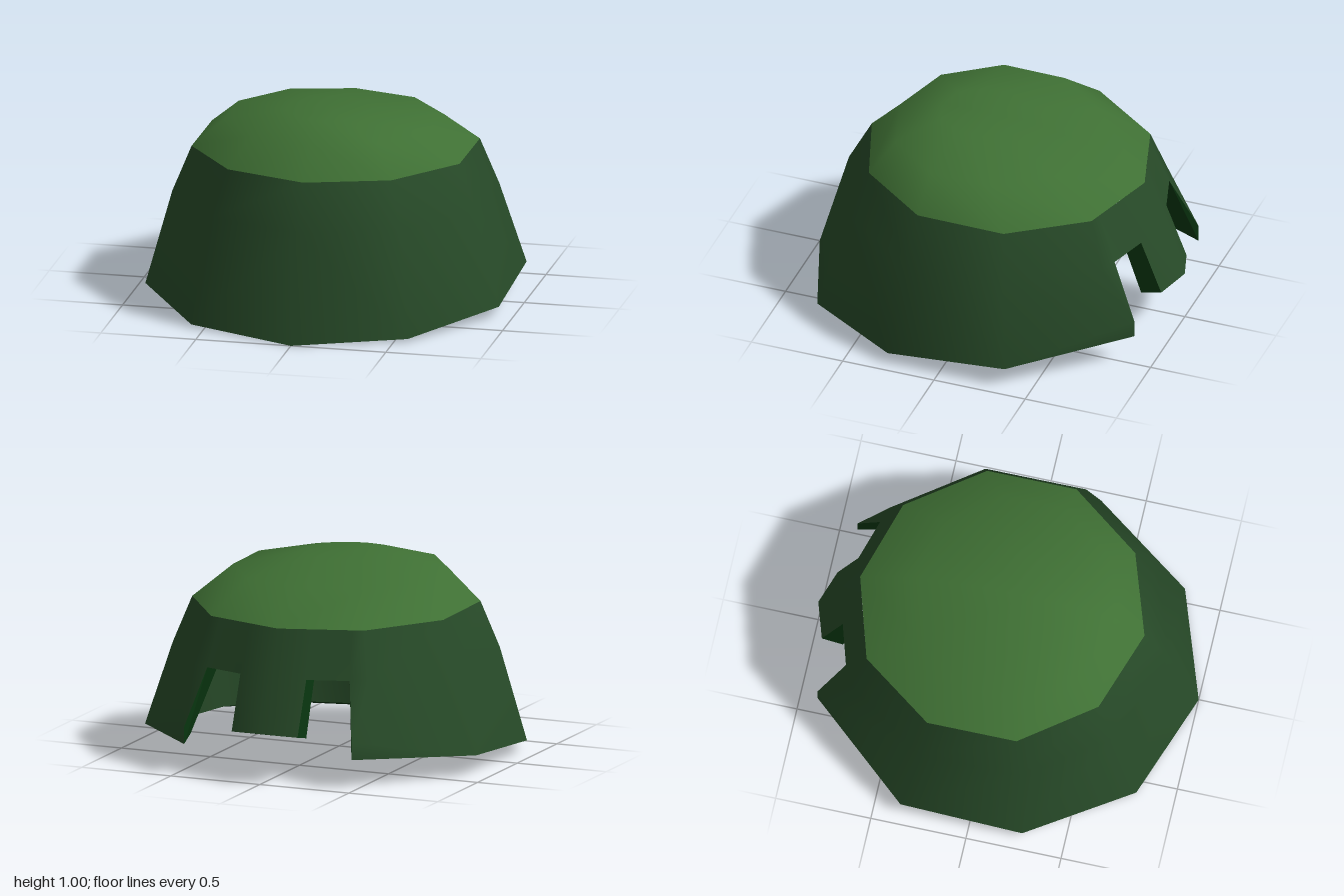
import * as THREE from 'three';
import { mergeVertices } from 'three/addons/utils/BufferGeometryUtils.js';

// Triangles between two rows of points, listed from the front round to the back
const band = (top, low) => {
  const tris = [];
  for (let i = 0; i < top.length - 1; i++) {
    tris.push([top[i], low[i], low[i + 1]], [top[i], low[i + 1], top[i + 1]]);
  }
  return tris;
};
const fan = (p) => p.slice(2).map((q, i) => [p[0], p[i + 1], q]);

// Adds the mirrored half, drops empty triangles, and makes smooth or flat normals
function mirrored(tris, smooth) {
  const pos = [];
  const same = (a, b) => a.every((v, i) => v === b[i]);
  for (const [a, b, c] of tris) {
    if (same(a, b) || same(b, c) || same(a, c)) continue;
    pos.push(...a, ...b, ...c);
    for (const p of [a, c, b]) pos.push(p[0] === 0 ? 0 : -p[0], p[1], p[2]);
  }
  let geo = new THREE.BufferGeometry();
  geo.setAttribute('position', new THREE.Float32BufferAttribute(pos, 3));
  if (smooth) geo = mergeVertices(geo);
  geo.computeVertexNormals();
  return geo;
}

// Lifts [x, z] pairs to a height rule
const ring = (xz, y) => xz.map(([x, z]) => [x, y(z), z]);

export function createModel() {
  const mat = (name, color) => {
    const m = new THREE.MeshStandardMaterial({ color, side: THREE.DoubleSide });
    m.name = name;
    return m;
  };
  const lightGreen = mat('light green', 0x3f7034);
  const darkGreen = mat('dark green', 0x274a28);
  const deepGreen = mat('deep green', 0x093810);

  const group = new THREE.Group();
  group.name = 'shell';
  const add = (name, tris, material, smooth) => {
    const mesh = new THREE.Mesh(mirrored(tris, smooth), material);
    mesh.name = name;
    group.add(mesh);
  };

  // Ten-sided rings, right half only, front to back
  const top = ring([[0, 0.33], [0.13, 0.286], [0.21, 0.17], [0.21, 0.03], [0.13, -0.085], [0, -0.13]], () => 1.003);
  const upper = ring([[0, 0.56], [0.33, 0.46], [0.535, 0.19], [0.535, -0.14], [0.33, -0.41], [0, -0.5]], (z) => 0.938 + 0.012 * z);
  const brow = ring([[0, 0.715], [0.43, 0.57], [0.705, 0.2], [0.705, -0.27], [0.43, -0.65], [0, -0.78]], (z) => 0.783 + 0.01 * z);

  // Crown
  const centre = [0, 1.005, 0.1];
  const lid = top.slice(0, -1).map((p, i) => [centre, p, top[i + 1]]);
  add('crown', [...lid, ...band(top, upper), ...band(upper, brow)], lightGreen, true);

  // Wall rings, with extra columns at the notch and the tab
  const browWall = [...brow.slice(0, 5), ...ring([[0.37, -0.668], [0.18, -0.726]], (z) => 0.783 + 0.01 * z), brow[5]];
  const mid = ring([[0, 0.84], [0.5, 0.665], [0.8, 0.23], [0.8, -0.3], [0.49, -0.73], [0.4, -0.765], [0.185, -0.83], [0, -0.89]],
    (z) => 0.543 + 0.014 * z);
  const rim = ring([[0, 1], [0.57, 0.8], [0.93, 0.28], [0.93, -0.36], [0.47, -0.9]], (z) => 0.079 * (1 - z));
  const innerRim = ring([[0, 0.78], [0.45, 0.6], [0.73, 0.2], [0.73, -0.29], [0.49, -0.77]], (z) => 0.04 + 0.079 * (1 - z));
  const innerMid = [[0.38, 0.53, -0.67], [0.185, 0.53, -0.725], [0, 0.53, -0.775]];
  const tabOuter = [[0.185, 0.25, -0.94], [0, 0.265, -1]];
  const tabInner = [[0.185, 0.225, -0.83], [0, 0.235, -0.88]];
  const corner = [0.47, 0.24, -0.9];

  // Outer wall, with the back tab hanging between two notches
  add('outerWall', [
    ...band(browWall, mid),
    ...band(mid.slice(0, 6), [...rim.slice(0, 4), corner, corner]),
    [rim[3], rim[4], corner],
    ...band(mid.slice(6), tabOuter),
  ], darkGreen, true);

  // Inner wall
  add('innerWall', [
    ...band([...innerRim, ...innerMid], browWall),
    ...band(tabInner, innerMid.slice(1)),
  ], darkGreen, true);

  // Thick lower rim, notch faces and tab edges
  add('rim', band(rim, innerRim), deepGreen, false);
  add('notchFaces', [
    ...fan([mid[5], corner, rim[4], innerRim[4], innerMid[0]]),
    ...band([mid[5], mid[6]], innerMid.slice(0, 2)),
  ], deepGreen, false);
  add('tabEdges', [
    ...band([innerMid[1], mid[6]], [tabInner[0], tabOuter[0]]),
    ...band(tabOuter, tabInner),
  ], deepGreen, false);

  return group;
}
